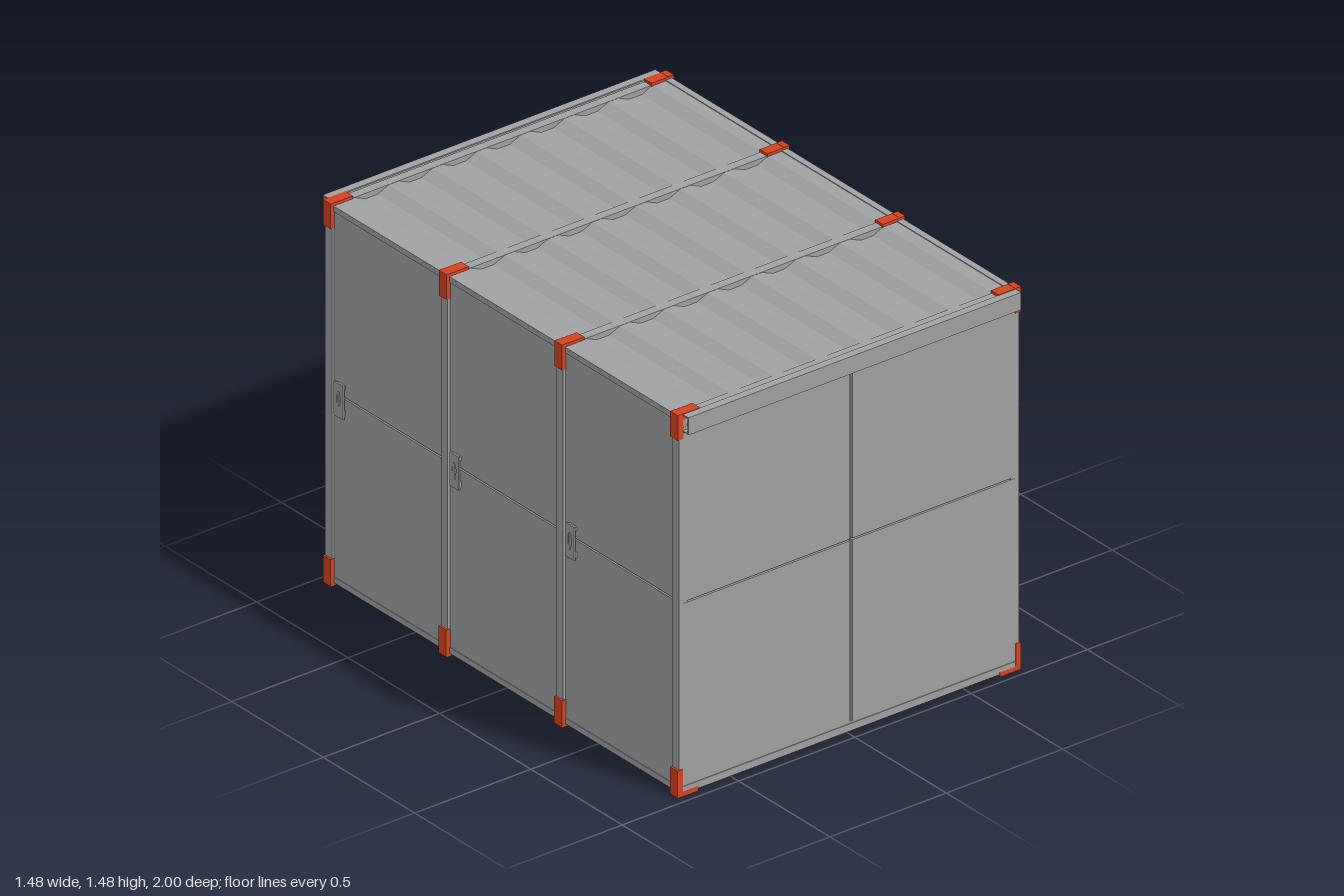
import * as THREE from 'three';

const steel = new THREE.MeshStandardMaterial({ color: 0xa0a1a2 });
steel.name = 'greySteel';
const orange = new THREE.MeshStandardMaterial({ color: 0xd5431f });
orange.name = 'orangeBracket';
const wood = new THREE.MeshStandardMaterial({ color: 0x8a6a50 });
wood.name = 'brownFloor';

const FRAMES = [-0.949, -0.316, 0.316, 0.949]; // z of the four portal frames
const BAYS = [-0.6325, 0, 0.6325];             // z of the bays between them
const BAY = 0.597;

// Box from its limits
function box(parent, name, mat, x0, x1, y0, y1, z0, z1) {
  const m = new THREE.Mesh(new THREE.BoxGeometry(x1 - x0, y1 - y0, z1 - z0), mat);
  m.position.set((x0 + x1) / 2, (y0 + y1) / 2, (z0 + z1) / 2);
  m.name = name;
  parent.add(m);
  return m;
}

function extrude(parent, name, mat, shape, depth, z) {
  const m = new THREE.Mesh(new THREE.ExtrudeGeometry(shape, { depth, bevelEnabled: false }), mat);
  m.position.z = z;
  m.name = name;
  parent.add(m);
  return m;
}

// Trapezoid wave: [distance, depth] pairs; dir -1 walks the other way
function wave(start, end, first, dir) {
  const pts = [[start, 0]];
  for (let i = 0; i < 7; i++) {
    const s = first + dir * i * 0.189, d = dir * 0.047;
    pts.push([s, 0], [s + d, -0.02], [s + 2.1 * d, -0.02], [s + 3.1 * d, 0]);
  }
  pts.push([end, 0]);
  return pts;
}

// Closed sheet outline from a wave, mapped into the xy plane
function sheet(pts, map) {
  const t = 0.006;
  const outer = pts.map(([s, h]) => map(s, h));
  const inner = pts.map(([s, h]) => map(s, h - t)).reverse();
  return new THREE.Shape([...outer, ...inner].map(([x, y]) => new THREE.Vector2(x, y)));
}

export function createModel() {
  const model = new THREE.Group();

  // Portal frames with orange corner brackets
  for (const z of FRAMES) {
    const frame = new THREE.Group();
    frame.name = 'portalFrame';
    model.add(frame);
    const a = z - 0.018, b = z + 0.018;
    box(frame, 'roofBeam', steel, -0.72, 0.72, 1.43, 1.464, a, b);
    box(frame, 'floorBeam', steel, -0.72, 0.72, 0.008, 0.045, a, b);
    for (const s of [-1, 1]) {
      const lim = (p, q) => (s > 0 ? [p, q] : [-q, -p]);
      box(frame, 'post', steel, ...lim(0.695, 0.731), 0.015, 1.464, a, b);
      const c = z - 0.021, d = z + 0.021;
      box(frame, 'topBracketPlate', orange, ...lim(0.714, 0.738), 1.378, 1.475, c, d);
      box(frame, 'topBracketArm', orange, ...lim(0.642, 0.72), 1.45, 1.474, c, d);
      box(frame, 'bottomBracketPlate', orange, ...lim(0.716, 0.739), 0.002, 0.105, c, d);
      box(frame, 'bottomBracketFoot', orange, ...lim(0.648, 0.737), 0, 0.02, c, d);
    }
  }

  // Corrugated roof and left wall, flat doors and floor in each bay
  const roof = sheet(wave(-0.725, 0.705, -0.632, 1), (s, h) => [s, 1.463 + h]);
  const wall = sheet(wave(1.45, 0.052, 1.377, -1), (s, h) => [0.718 + h, s]);
  for (const z of BAYS) {
    const a = z - BAY / 2, b = z + BAY / 2;
    extrude(model, 'roofSheet', steel, roof, BAY, a);
    extrude(model, 'wallSheet', steel, wall, BAY, a);
    box(model, 'floorBoard', wood, -0.69, 0.722, 0.034, 0.052, a, b);
    box(model, 'lowerDoor', steel, -0.721, -0.709, 0.03, 0.742, a, b);
    box(model, 'upperDoor', steel, -0.721, -0.709, 0.748, 1.455, a, b);
    box(model, 'doorBacking', steel, -0.709, -0.704, 0.03, 1.45, a, b);

    // Door latch: slotted plate with a small hook
    const latch = new THREE.Group();
    latch.name = 'latch';
    const plate = new THREE.Shape([[-0.025, -0.065], [0.025, -0.065], [0.025, 0.065], [-0.025, 0.065]]
      .map(([x, y]) => new THREE.Vector2(x, y)));
    const slot = new THREE.Path();
    slot.absellipse(0, 0.005, 0.01, 0.03, 0, Math.PI * 2);
    plate.holes.push(slot);
    extrude(latch, 'latchPlate', steel, plate, 0.006, 0.01);
    box(latch, 'latchMount', steel, -0.02, 0.02, -0.06, -0.035, 0, 0.01);
    box(latch, 'latchMountTop', steel, -0.02, 0.02, 0.045, 0.06, 0, 0.01);
    box(latch, 'latchHook', steel, -0.005, 0.005, -0.03, 0.03, 0, 0.018);
    latch.rotation.y = -Math.PI / 2;
    latch.position.set(-0.721, 0.735, z - 0.255);
    model.add(latch);
  }

  // Long rails
  box(model, 'leftTopRail', steel, 0.703, 0.729, 1.445, 1.466, -0.93, 0.93);
  box(model, 'leftBottomRail', steel, 0.69, 0.728, 0.012, 0.034, -0.93, 0.93);
  box(model, 'rightTopRail', steel, -0.724, -0.7, 1.44, 1.456, -0.93, 0.93);
  box(model, 'rightBottomRail', steel, -0.724, -0.68, 0.012, 0.034, -0.93, 0.93);

  // End walls: four panels with narrow seams, sill and open header channel
  for (const s of [1, -1]) {
    const end = new THREE.Group();
    end.name = s > 0 ? 'frontWall' : 'backWall';
    if (s < 0) end.rotation.y = Math.PI;
    const seam = s * 0.01;
    for (const [x0, x1] of [[-0.714, seam - 0.005], [seam + 0.005, 0.714]]) {
      box(end, 'lowerPanel', steel, x0, x1, 0.04, 0.742, 0.95, 0.968);
      box(end, 'upperPanel', steel, x0, x1, 0.748, 1.42, 0.95, 0.968);
    }
    box(end, 'panelBacking', steel, -0.71, 0.71, 0.03, 1.43, 0.945, 0.953);
    box(end, 'sill', steel, -0.715, 0.715, 0.018, 0.038, 0.945, 0.97);
    box(end, 'headerFace', steel, -0.715, 0.715, 1.405, 1.472, 0.995, 1);
    box(end, 'headerTop', steel, -0.715, 0.715, 1.467, 1.472, 0.968, 0.995);
    box(end, 'headerLip', steel, -0.715, 0.715, 1.405, 1.409, 0.968, 0.995);
    model.add(end);
  }

  return model;
}
